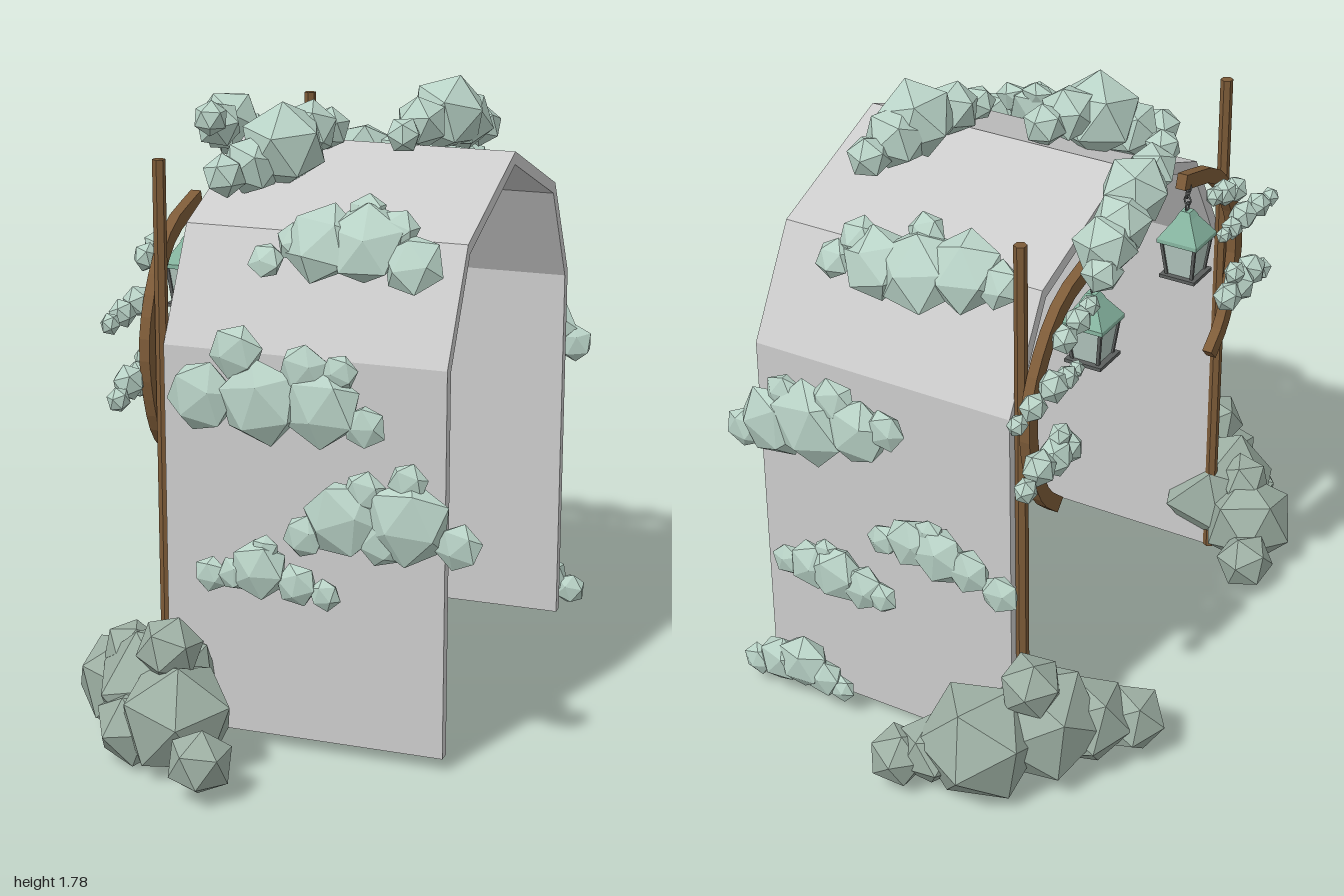
import * as THREE from 'three';
import { mergeGeometries } from 'three/addons/utils/BufferGeometryUtils.js';

const mat = (color) => new THREE.MeshStandardMaterial({ color, flatShading: true });
const grey = mat(0xcccccc), wood = mat(0x7d5b38), leaf = mat(0xb8d2c6), bushGreen = mat(0x9dafa3);
const roofGreen = mat(0x86b5a0), iron = mat(0x5c5f5e), glass = mat(0xb4c8c0);
const MID = -0.07; // the arch is mirrored in z about this plane

let seed = 7;
const rand = () => (seed = (seed * 16807) % 2147483647) / 2147483647;

function add(parent, name, geometry, material, x = 0, y = 0, z = 0) {
  const mesh = new THREE.Mesh(geometry, material);
  mesh.name = name;
  mesh.position.set(x, y, z);
  parent.add(mesh);
  return mesh;
}

// Closed outline given as [z, y], extruded along x
function extrudeX(outline, x, depth) {
  const shape = new THREE.Shape(outline.map(([z, y]) => new THREE.Vector2(-z, y)));
  return new THREE.ExtrudeGeometry(shape, { depth, bevelEnabled: false }).rotateY(Math.PI / 2).translate(x, 0, 0);
}

// Faceted blobs [x, y, z, radius], each squashed by the same factors
function clump(blobs, squash = [1, 1, 1]) {
  return mergeGeometries(blobs.map(([x, y, z, r]) =>
    new THREE.IcosahedronGeometry(r * 1.04, 0)
      .rotateX(rand() * 6).rotateY(rand() * 6).rotateZ(rand() * 6)
      .scale(...squash).translate(x, y, z)));
}

// Flat clump of blobs [u, v, radius] lying in the xy plane
const flatClump = (blobs, depth) => clump(blobs.map(([u, v, r]) => [u, v, 0, r]), [1, 1, depth]);

// Square lantern hanging from a short chain
function lantern() {
  const g = new THREE.Group();
  const square = (rt, rb, h) =>
    new THREE.CylinderGeometry(rt * Math.SQRT2, rb * Math.SQRT2, h, 4).rotateY(Math.PI / 4);
  add(g, 'lanternBase', square(0.055, 0.055, 0.01), iron, 0, 1.175);
  add(g, 'lanternGlass', square(0.05, 0.038, 0.1), glass, 0, 1.23);
  for (const sx of [-1, 1]) for (const sz of [-1, 1]) {
    const bar = add(g, 'lanternBar', new THREE.BoxGeometry(0.009, 0.105, 0.009), iron, sx * 0.045, 1.23, sz * 0.045);
    bar.rotation.set(sz * 0.12, 0, -sx * 0.12);
  }
  add(g, 'lanternEaves', square(0.062, 0.062, 0.012), roofGreen, 0, 1.287);
  add(g, 'lanternRoof', square(0.022, 0.062, 0.06), roofGreen, 0, 1.323);
  add(g, 'lanternCap', square(0.014, 0.024, 0.018), roofGreen, 0, 1.362);
  for (let i = 0; i < 4; i++) {
    const link = add(g, 'chainLink', new THREE.TorusGeometry(0.01, 0.003, 4, 8), iron, 0, 1.382 + i * 0.02);
    link.scale.y = 1.3;
    link.rotation.y = i % 2 ? 0 : Math.PI / 2;
  }
  return g;
}

// Curved wooden brace: a constant-width ribbon along a [z, y] curve
function braceOutline(side) {
  const curve = new THREE.CatmullRomCurve3(
    [[0.385, 0.81], [0.46, 0.88], [0.51, 1.0], [0.525, 1.15], [0.47, 1.29], [0.36, 1.41], [0.17, 1.47]]
      .map(([z, y]) => new THREE.Vector3(z, y, 0)));
  const outer = [], inner = [];
  for (let i = 0; i <= 16; i++) {
    const p = curve.getPoint(i / 16), t = curve.getTangent(i / 16);
    outer.push([p.x - t.y * 0.022, p.y + t.x * 0.022]);
    inner.unshift([p.x + t.y * 0.022, p.y - t.x * 0.022]);
  }
  return [...outer, ...inner].map(([z, y]) => [side > 0 ? z : 2 * MID - z, y]);
}

export function createModel() {
  const model = new THREE.Group();
  model.name = 'gardenArch';

  // Faceted tunnel shell
  const c = -0.075;
  const half = [[0.605, 0.05], [0.605, 1.14], [0.435, 1.44]];
  const halfIn = [[0.573, 0.05], [0.573, 1.13], [0.416, 1.412]];
  const arc = (h, peak) => [...h.map(([z, y]) => [c + z, y]), [c, peak], ...[...h].reverse().map(([z, y]) => [c - z, y])];
  add(model, 'archShell', extrudeX([...arc(half, 1.61), ...arc(halfIn, 1.573).reverse()], -0.29, 0.8), grey);

  // Posts, braces, lanterns and the vines twined round them, on both sides
  for (const side of [1, -1]) {
    const mz = (z) => (side > 0 ? z : 2 * MID - z);
    const name = side > 0 ? 'front' : 'back';
    add(model, name + 'Post', new THREE.CylinderGeometry(0.018, 0.018, 1.59, 6), wood, -0.305, 0.845, mz(0.505));
    add(model, name + 'Brace', extrudeX(braceOutline(side), -0.354, 0.03), wood);
    const lamp = lantern();
    lamp.name = name + 'Lantern';
    lamp.position.set(-0.345, 0, mz(0.2));
    model.add(lamp);
    const twine = [
      [[0.62, 1.0, 0.035], [0.55, 1.03, 0.05], [0.47, 1.02, 0.055], [0.4, 1.01, 0.045], [0.44, 1.07, 0.035]],
      [[0.66, 1.22, 0.03], [0.58, 1.23, 0.04], [0.48, 1.24, 0.045], [0.41, 1.23, 0.035], [0.36, 1.23, 0.025]],
      [[0.42, 1.35, 0.04], [0.35, 1.37, 0.04], [0.29, 1.385, 0.03]],
    ];
    for (const t of twine)
      add(model, name + 'PostVine', clump(t.map(([z, y, r]) => [-0.385, y, mz(z), r]), [0.9, 1, 1]), leaf);
  }

  // Leaf clumps on the front wall
  add(model, 'frontVineHigh', flatClump([[-0.15, 1.03, 0.1], [-0.05, 1.16, 0.075], [0.02, 1.03, 0.12],
    [0.19, 1.03, 0.11], [0.14, 1.13, 0.07], [0.24, 1.13, 0.05], [0.31, 0.99, 0.06]], 0.45), leaf, 0, 0, 0.605);
  add(model, 'frontVineMiddle', flatClump([[0.14, 0.67, 0.06], [0.25, 0.73, 0.11], [0.31, 0.81, 0.06],
    [0.43, 0.74, 0.12], [0.43, 0.85, 0.055], [0.36, 0.68, 0.07], [0.57, 0.69, 0.065]], 0.45), leaf, 0, 0, 0.605);
  add(model, 'frontVineLow', flatClump([[-0.14, 0.52, 0.05], [-0.07, 0.53, 0.05], [0, 0.55, 0.085],
    [0.02, 0.61, 0.04], [0.11, 0.52, 0.06], [0.19, 0.5, 0.045]], 0.5), leaf, 0, 0, 0.58);

  // Leaf clumps on the back wall
  add(model, 'backVineHigh', flatClump([[0.06, 1.03, 0.06], [0.15, 1.0, 0.1], [0.22, 1.07, 0.07], [0.3, 0.98, 0.13],
    [0.42, 0.95, 0.11], [0.38, 1.05, 0.06], [0.52, 0.9, 0.06]], 0.5), leaf, 0, 0, -0.74);
  add(model, 'backVineMiddle', flatClump([[0.09, 0.66, 0.05], [0.0, 0.68, 0.08], [-0.09, 0.67, 0.09],
    [-0.06, 0.73, 0.045], [-0.18, 0.65, 0.07], [-0.28, 0.61, 0.06]], 0.5), leaf, 0, 0, -0.72);
  add(model, 'backVineLow', flatClump([[0.4, 0.5, 0.05], [0.32, 0.51, 0.075], [0.24, 0.51, 0.09],
    [0.27, 0.57, 0.04], [0.15, 0.49, 0.07], [0.09, 0.48, 0.05]], 0.55), leaf, 0, 0, -0.74);
  add(model, 'backVineFoot', flatClump([[0.53, 0.1, 0.05], [0.45, 0.13, 0.075], [0.37, 0.15, 0.085],
    [0.3, 0.12, 0.06], [0.24, 0.1, 0.04]], 0.6), leaf, 0, 0, -0.735);

  // Leaf clumps lying on the steep shoulders
  const frontShoulder = add(model, 'frontShoulderVine', flatClump([[-0.02, -0.06, 0.05], [0.06, 0, 0.06],
    [0.13, 0, 0.11], [0.24, 0.09, 0.055], [0.25, 0.01, 0.115], [0.33, 0.05, 0.06], [0.39, -0.04, 0.085]], 0.6),
    leaf, 0, 1.43, 0.43);
  frontShoulder.rotation.x = -0.515;
  const backShoulder = add(model, 'backShoulderVine', flatClump([[-0.2, 0.02, 0.065], [-0.1, 0.03, 0.11],
    [0.03, 0, 0.12], [0.04, 0.1, 0.055], [0.16, -0.01, 0.1], [0.23, 0.04, 0.06], [0.29, -0.03, 0.055]], 0.65),
    leaf, 0, 1.45, -0.59);
  backShoulder.rotation.x = 0.515;

  // Leaf clumps along the ridge and the open side
  add(model, 'ridgeVineFront', clump([[-0.21, 1.56, 0.28, 0.06], [-0.16, 1.58, 0.2, 0.085], [-0.09, 1.63, 0.14, 0.12],
    [-0.05, 1.66, 0.05, 0.08], [-0.02, 1.65, -0.03, 0.06]]), leaf);
  add(model, 'ridgeVineBack', clump([[0.21, 1.65, 0.0, 0.05], [0.23, 1.67, -0.1, 0.075], [0.27, 1.68, -0.22, 0.11],
    [0.29, 1.65, -0.29, 0.09], [0.32, 1.62, -0.38, 0.06]]), leaf);
  add(model, 'sideVine', clump([[-0.37, 1.66, -0.01, 0.05], [-0.38, 1.63, -0.09, 0.07], [-0.39, 1.62, -0.2, 0.095],
    [-0.4, 1.57, -0.29, 0.08], [-0.39, 1.53, -0.36, 0.085], [-0.41, 1.48, -0.41, 0.055]]), leaf);

  // Bushes at the feet of the posts
  add(model, 'frontBush', clump([[-0.04, 0.12, 0.91, 0.09], [-0.17, 0.17, 0.76, 0.16], [-0.2, 0.35, 0.73, 0.09],
    [-0.28, 0.19, 0.62, 0.18], [-0.42, 0.16, 0.54, 0.14], [-0.38, 0.27, 0.58, 0.08], [-0.48, 0.11, 0.4, 0.085],
    [-0.3, 0.12, 0.75, 0.11]]), bushGreen);
  add(model, 'backBush', clump([[-0.07, 0.12, -0.92, 0.085], [-0.15, 0.14, -0.87, 0.1], [-0.27, 0.18, -0.82, 0.17],
    [-0.38, 0.35, -0.73, 0.09], [-0.38, 0.19, -0.67, 0.17], [-0.46, 0.16, -0.57, 0.13], [-0.55, 0.13, -0.47, 0.1]]),
    bushGreen);

  return model;
}
